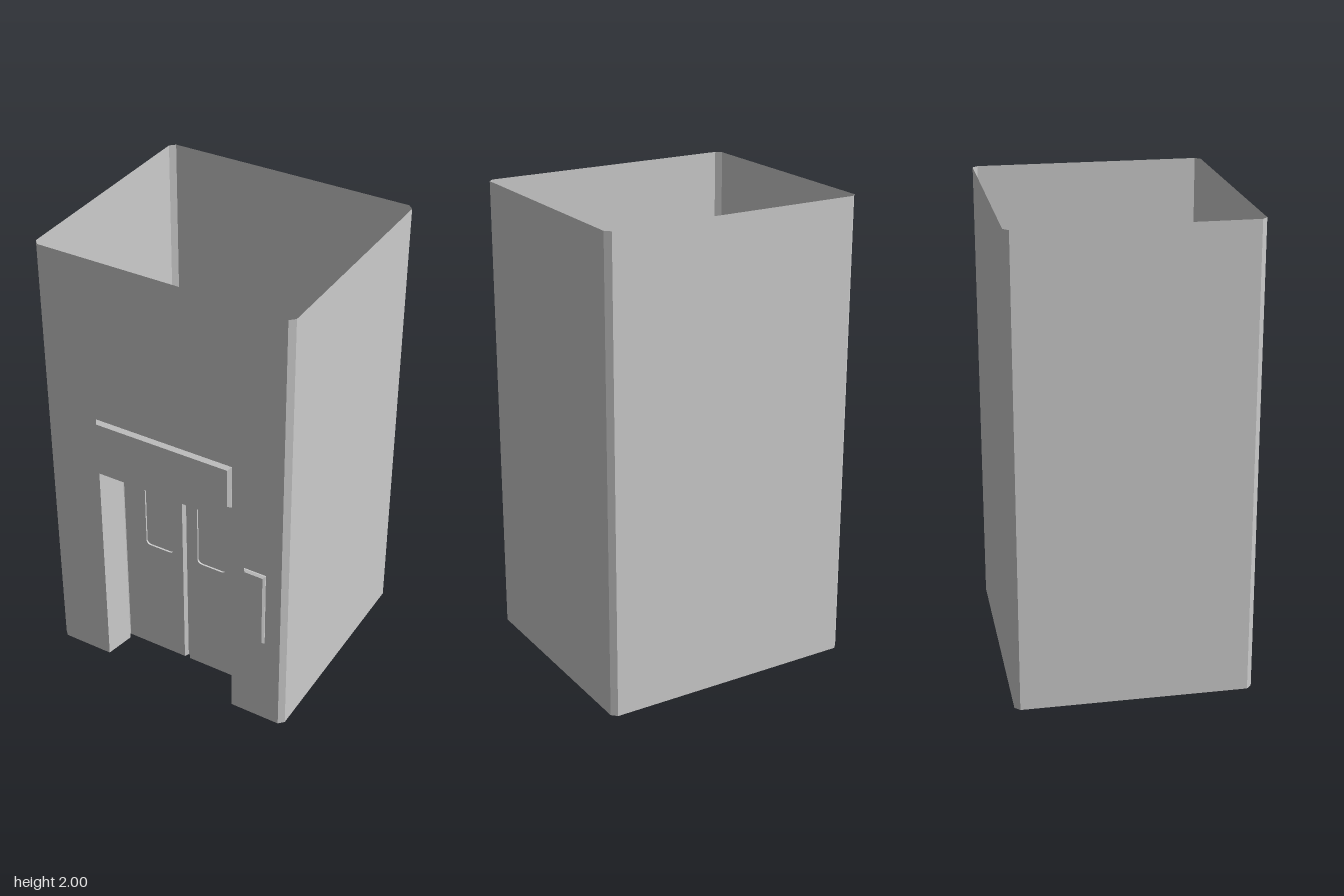
import * as THREE from 'three';

const material = new THREE.MeshStandardMaterial({ color: 0xcccccc, flatShading: true, side: THREE.DoubleSide });

function add(parent, name, geometry) {
  const mesh = new THREE.Mesh(geometry, material);
  mesh.name = name;
  parent.add(mesh);
  return mesh;
}

// Skin joining successive rings of [x, y, z] points
function loft(rings, closed = false) {
  const pos = [];
  for (let r = 0; r < rings.length - 1; r++) {
    const a = rings[r], b = rings[r + 1], n = a.length;
    for (let i = 0; i < (closed ? n : n - 1); i++) {
      const j = (i + 1) % n;
      pos.push(...a[i], ...a[j], ...b[j], ...a[i], ...b[j], ...b[i]);
    }
  }
  const g = new THREE.BufferGeometry();
  g.setAttribute('position', new THREE.Float32BufferAttribute(pos, 3));
  g.computeVertexNormals();
  return g;
}

const flat = (shape, z) => new THREE.ShapeGeometry(shape, 4).translate(0, 0, z);
const polygon = (pts) => new THREE.Shape(pts.map(([x, y]) => new THREE.Vector2(x, y)));
const rect = (x0, y0, x1, y1) => [[x0, y0], [x1, y0], [x1, y1], [x0, y1]];
const atZ = (pts, z) => pts.map(([x, y]) => [x, y, z]);

// Rounded rectangle outline, counter-clockwise
function roundedRect(x0, y0, x1, y1, r) {
  const pts = [];
  const centres = [[x1 - r, y0 + r], [x1 - r, y1 - r], [x0 + r, y1 - r], [x0 + r, y0 + r]];
  centres.forEach(([cx, cy], k) => {
    for (let i = 0; i <= 4; i++) {
      const a = (k - 1 + i / 4) * Math.PI / 2;
      pts.push([cx + r * Math.cos(a), cy + r * Math.sin(a)]);
    }
  });
  return pts;
}

// Wall plate with a bevelled front edge
function bevelledPlate(parent, name, x0, y0, x1, y1, zBack, zEdge, zFront, bevel) {
  const group = new THREE.Group();
  group.name = name;
  const outer = rect(x0, y0, x1, y1);
  const inner = rect(x0 + bevel, y0 + bevel, x1 - bevel, y1 - bevel);
  add(group, name + 'Sides', loft([atZ(outer, zBack), atZ(outer, zEdge), atZ(inner, zFront)], true));
  add(group, name + 'Face', flat(polygon(inner), zFront));
  parent.add(group);
}

export function createModel() {
  const model = new THREE.Group();
  model.name = 'elevatorShaft';

  const X = 0.562, F = 0.49, B = -0.505, C = 0.022, H = 2;
  const W = 0.313, D = 1;

  // Side and back walls with chamfered corners, open at top and bottom
  const plan = [
    [X - C, F], [X, F - C], [X, B + C], [X - C, B],
    [C - X, B], [-X, B + C], [-X, F - C], [C - X, F],
  ];
  add(model, 'sideAndBackWalls', loft([0, H].map((y) => plan.map(([x, z]) => [x, y, z]))));

  // Front wall with the doorway cut out
  add(model, 'frontWall', flat(polygon([
    [C - X, 0], [-W, 0], [-W, D], [W, D], [W, 0], [X - C, 0], [X - C, H], [C - X, H],
  ]), F));

  // Doorway lining: tapering jambs and ceiling, then a slot around the doors
  const lining = [[W, D, F], [0.287, 0.995, 0.36], [0.302, 1.003, 0.342], [0.295, 1, 0.335]];
  add(model, 'doorwayLining', loft(lining.map(([w, h, z]) =>
    [[w, 0, z], [w, h, z], [-w, h, z], [-w, 0, z]])));

  // Sliding doors with recessed windows
  const zDoor = 0.339, zPane = 0.331, gap = 0.013;
  for (const side of [1, -1]) {
    const door = new THREE.Group();
    door.name = side > 0 ? 'leftDoor' : 'rightDoor';
    const xs = [side * gap, side * 0.298].sort((a, b) => a - b);
    const wx = [side * 0.06, side * 0.195].sort((a, b) => a - b);
    const window = roundedRect(wx[0], 0.57, wx[1], 0.91, 0.018);
    const leaf = polygon(rect(xs[0], 0, xs[1], 1));
    leaf.holes.push(polygon(window));
    add(door, 'doorLeaf', flat(leaf, zDoor));
    add(door, 'windowRim', loft([atZ(window, zDoor), atZ(window, zPane)], true));
    add(door, 'windowPane', flat(polygon(window), zPane));
    model.add(door);
  }

  // Groove where the doors meet
  const groove = [[-gap, zDoor], [-0.004, 0.321], [0.004, 0.321], [gap, zDoor]];
  add(model, 'doorGroove', loft([0, 1].map((y) => groove.map(([x, z]) => [x, y, z]))));

  // Sign above the doorway and call panel beside it
  bevelledPlate(model, 'sign', -W, 1.073, W, 1.27, 0.488, 0.491, 0.507, 0.011);
  bevelledPlate(model, 'callPanel', 0.372, 0.43, 0.47, 0.79, 0.475, 0.495, 0.504, 0.008);

  return model;
}
